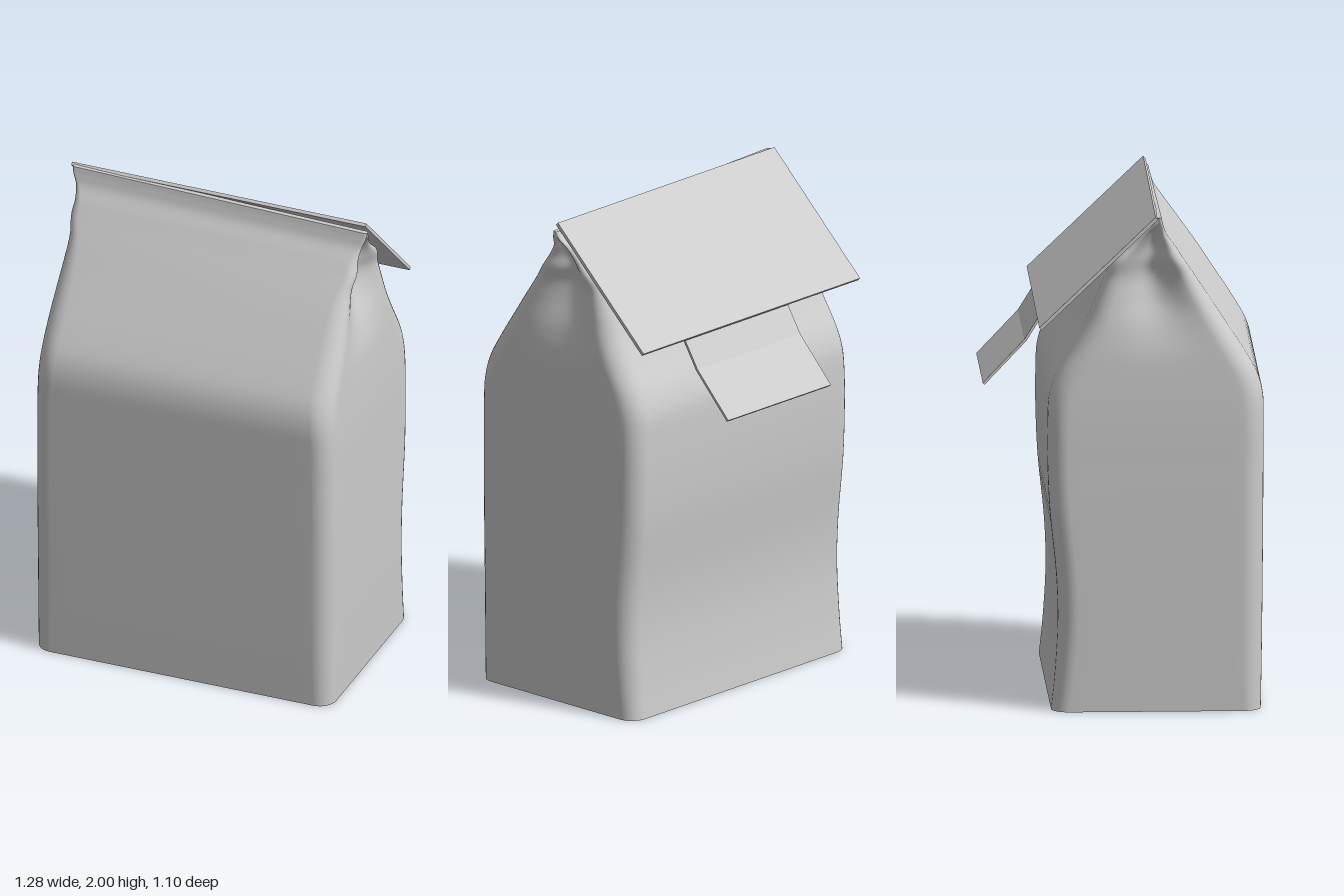
import * as THREE from 'three';

const paper = new THREE.MeshStandardMaterial({ color: 0xcccccc });
paper.name = 'paper grey';

// Bag sections: height, front z, back z, half width, corner radius, gusset depth
const SECTIONS = [
  [0, 0.54, -0.29, 0.633, 0.07, 0],
  [0.15, 0.543, -0.275, 0.635, 0.075, 0],
  [0.35, 0.546, -0.264, 0.637, 0.08, 0],
  [0.55, 0.548, -0.27, 0.638, 0.08, 0],
  [0.8, 0.55, -0.295, 0.639, 0.08, 0],
  [1.0, 0.551, -0.304, 0.638, 0.08, 0],
  [1.15, 0.552, -0.304, 0.637, 0.08, 0],
  [1.26, 0.55, -0.298, 0.634, 0.085, 0],
  [1.35, 0.527, -0.268, 0.63, 0.09, 0],
  [1.45, 0.47, -0.21, 0.626, 0.09, 0.005],
  [1.55, 0.405, -0.155, 0.621, 0.085, 0.025],
  [1.65, 0.34, -0.115, 0.614, 0.075, 0.055],
  [1.74, 0.283, -0.08, 0.608, 0.06, 0.065],
  [1.81, 0.238, -0.045, 0.617, 0.05, 0.06],
  [1.87, 0.2, 0.015, 0.612, 0.04, 0.05],
  [1.92, 0.166, 0.066, 0.616, 0.025, 0.03],
  [1.96, 0.152, 0.108, 0.628, 0.015, 0.01],
  [1.99, 0.145, 0.124, 0.63, 0.009, 0],
];

// One rounded-rectangle ring with its short sides pushed in as gussets
function ring(y, zf, zb, hw, r, dent) {
  const zc = (zf + zb) / 2, hz = (zf - zb) / 2;
  const base = [];
  [[1, 1], [-1, 1], [-1, -1], [1, -1]].forEach(([sx, sz], c) => {
    for (let k = 0; k <= 8; k++) {
      const a = (c + k / 8) * Math.PI / 2;
      base.push([sx * (hw - r) + r * Math.cos(a), sz * (hz - r) + r * Math.sin(a)]);
    }
  });
  const points = [];
  base.forEach((p, i) => {
    points.push(p);
    if (i % 9 !== 8) return;
    const q = base[(i + 1) % base.length];
    for (let k = 1; k < 16; k++) {
      points.push([p[0] + (q[0] - p[0]) * k / 16, p[1] + (q[1] - p[1]) * k / 16]);
    }
  });
  const slant = 0.035 * THREE.MathUtils.smoothstep(y, 1.6, 1.95);
  return points.map(([x, z]) => {
    const side = Math.max(0, (Math.abs(x) - hw + 0.12) / 0.12);
    const push = dent * side * Math.exp(-((z / (hz * 0.5)) ** 2));
    return [x - Math.sign(x) * push, y - slant * (x + 0.63) / 1.26, z + zc];
  });
}

function bagGeometry() {
  const curve = (f) => new THREE.CatmullRomCurve3(SECTIONS.map(f), false, 'catmullrom', 0.5);
  const outline = curve((s) => new THREE.Vector3(s[1], s[0], s[2]));
  const sides = curve((s) => new THREE.Vector3(s[3], s[4], s[5]));
  const rows = 85, pos = [], index = [];
  let n = 0, first, last;
  for (let j = 0; j <= rows; j++) {
    const o = outline.getPoint(j / rows), s = sides.getPoint(j / rows);
    last = ring(o.y, o.x, o.z, s.x, s.y, Math.max(0, s.z));
    first = first || last;
    n = last.length;
    pos.push(...last.flat());
  }
  for (let j = 0; j < rows; j++) {
    for (let i = 0; i < n; i++) {
      const a = j * n + i, b = j * n + (i + 1) % n;
      index.push(a, a + n, b, b, a + n, b + n);
    }
  }
  // Closed base and top, with their own vertices for crisp rims
  [[first, false], [last, true]].forEach(([loop, up]) => {
    const start = pos.length / 3;
    const mean = [0, 1, 2].map((k) => loop.reduce((t, p) => t + p[k], 0) / n);
    pos.push(...mean, ...loop.flat());
    for (let i = 0; i < n; i++) {
      const a = start + 1 + i, b = start + 1 + (i + 1) % n;
      index.push(start, up ? b : a, up ? a : b);
    }
  });
  const g = new THREE.BufferGeometry();
  g.setAttribute('position', new THREE.Float32BufferAttribute(pos, 3));
  g.setIndex(index);
  g.computeVertexNormals();
  return g;
}

// Flat card strip between two (z, y) points, spanning x0 to x1
function panel(name, from, to, x0, x1, thick) {
  const dz = to[0] - from[0], dy = to[1] - from[1];
  const mesh = new THREE.Mesh(new THREE.BoxGeometry(x1 - x0, thick, Math.hypot(dz, dy)), paper);
  mesh.position.set((x0 + x1) / 2, (from[1] + to[1]) / 2, (from[0] + to[0]) / 2);
  mesh.rotation.x = Math.atan2(dy, -dz);
  mesh.name = name;
  return mesh;
}

export function createModel() {
  const group = new THREE.Group();
  group.name = 'foldedBag';

  const bag = new THREE.Mesh(bagGeometry(), paper);
  bag.name = 'bagBody';
  group.add(bag);

  // Folded-over top flap, sloping down behind the bag
  const flap = panel('topFlap', [0.128, 1.988], [-0.333, 1.546], -0.64, 0.62, 0.014);
  flap.rotation.z = -0.005;
  group.add(flap);

  // Bent closing tab under the flap
  const tab = new THREE.Group();
  tab.name = 'closingTab';
  tab.add(
    panel('tabUpper', [-0.275, 1.592], [-0.378, 1.425], -0.245, 0.355, 0.01),
    panel('tabLower', [-0.376, 1.427], [-0.543, 1.25], -0.245, 0.355, 0.01),
  );
  group.add(tab);
  return group;
}
